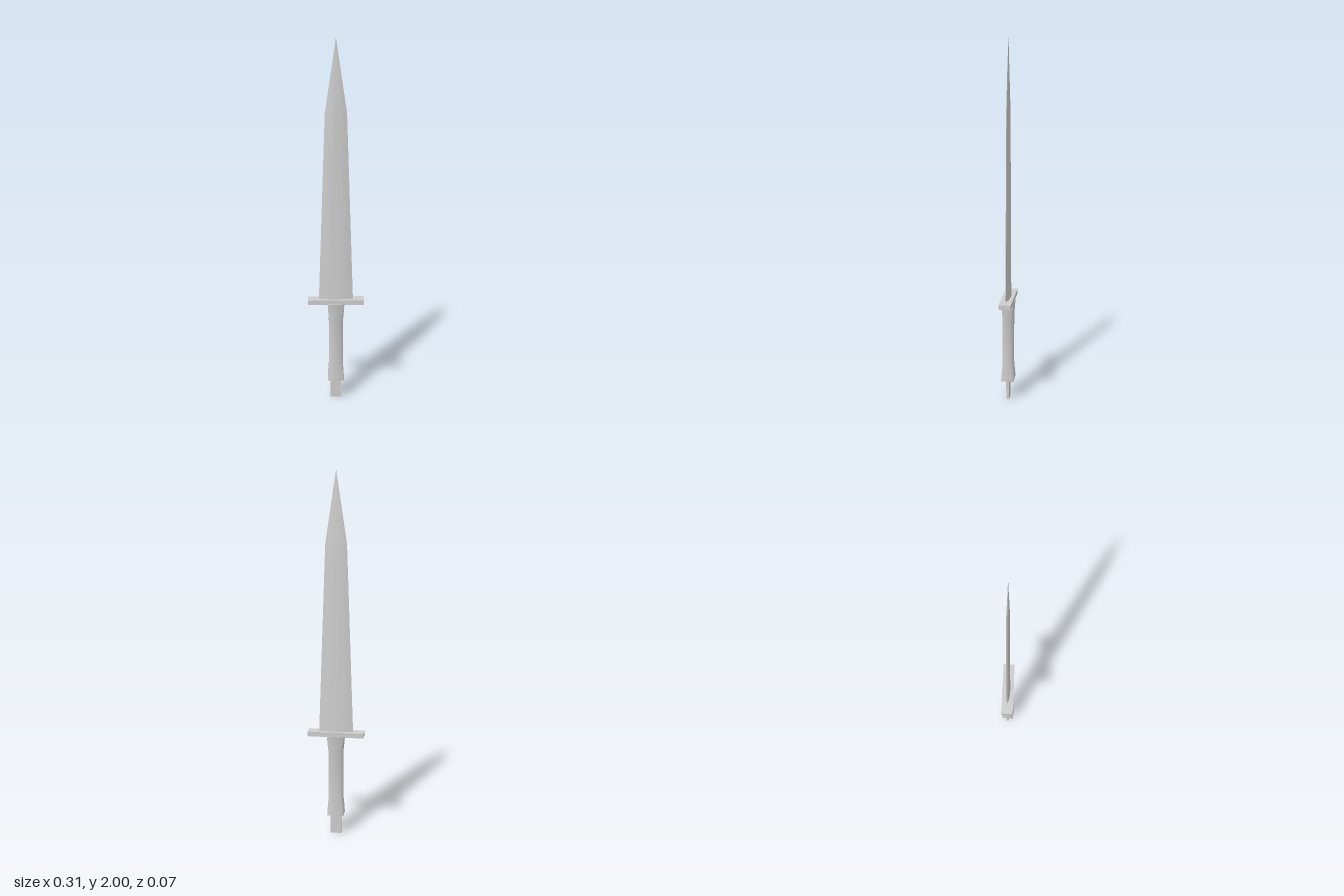
import * as THREE from 'three';
import { toCreasedNormals } from 'three/addons/utils/BufferGeometryUtils.js';

// Skins a stack of rings (counter-clockwise seen from above) and caps both ends.
function loft(rings, crease) {
  const n = rings[0].length;
  const index = [];
  rings.slice(1).forEach((_, r) => {
    for (let i = 0; i < n; i++) {
      const j = (i + 1) % n;
      const a = r * n + i, b = r * n + j;
      index.push(a, b, b + n, a, b + n, a + n);
    }
  });
  const top = (rings.length - 1) * n;
  for (let i = 1; i < n - 1; i++) {
    index.push(0, i + 1, i, top, top + i, top + i + 1);
  }
  const geometry = new THREE.BufferGeometry();
  geometry.setAttribute('position', new THREE.Float32BufferAttribute(rings.flat(2), 3));
  geometry.setIndex(index);
  return toCreasedNormals(geometry, crease);
}

// Lens-shaped blade section: sharp at both edges, thickest in the middle.
function bladeRing([y, halfWidth, halfDepth]) {
  const half = [[1, 0], [0.75, 0.5], [0.48, 0.85], [0, 1], [-0.48, 0.85], [-0.75, 0.5]];
  const back = half.map(([x, z]) => [x * halfWidth, y, -z * halfDepth]);
  return back.concat(back.map(([x, , z]) => [-x, y, -z]));
}

// Rectangular grip section with bevelled corners.
function gripRing([y, w, d, bevel]) {
  const quarter = [[w, d - bevel], [w - bevel, d]];
  const right = quarter.map(([x, z]) => [x, y, -z]);
  const left = quarter.map(([x, z]) => [-x, y, -z]).reverse();
  const back = right.concat(left);
  return back.concat(back.map(([x, , z]) => [-x, y, -z]));
}

export function createModel() {
  const group = new THREE.Group();
  const material = new THREE.MeshStandardMaterial({ color: 0xcccccc });
  const add = (name, geometry, y = 0) => {
    const mesh = new THREE.Mesh(geometry, material);
    mesh.name = name;
    mesh.position.y = y;
    group.add(mesh);
  };

  // Blade: [height, half width, half thickness], long taper then point
  const blade = [[0.595, 0.095, 0.014], [0.64, 0.093, 0.012], [1.62, 0.058, 0.009], [2, 0.0003, 0.0003]];
  add('blade', loft(blade.map(bladeRing), 0.5));

  // Crossguard
  add('guard', new THREE.BoxGeometry(0.31, 0.026, 0.066), 0.587);

  // Grip: [height, half width, half depth, corner bevel], flared at both ends
  const grip = [
    [0.115, 0.046, 0.035, 0.002], [0.14, 0.045, 0.034, 0.003], [0.21, 0.04, 0.029, 0.008],
    [0.49, 0.04, 0.029, 0.008], [0.55, 0.045, 0.033, 0.003], [0.576, 0.046, 0.035, 0.002],
  ];
  add('grip', loft(grip.map(gripRing), 0.9));

  // Exposed tang below the grip
  add('tang', new THREE.BoxGeometry(0.06, 0.125, 0.016), 0.0625);

  return group;
}
